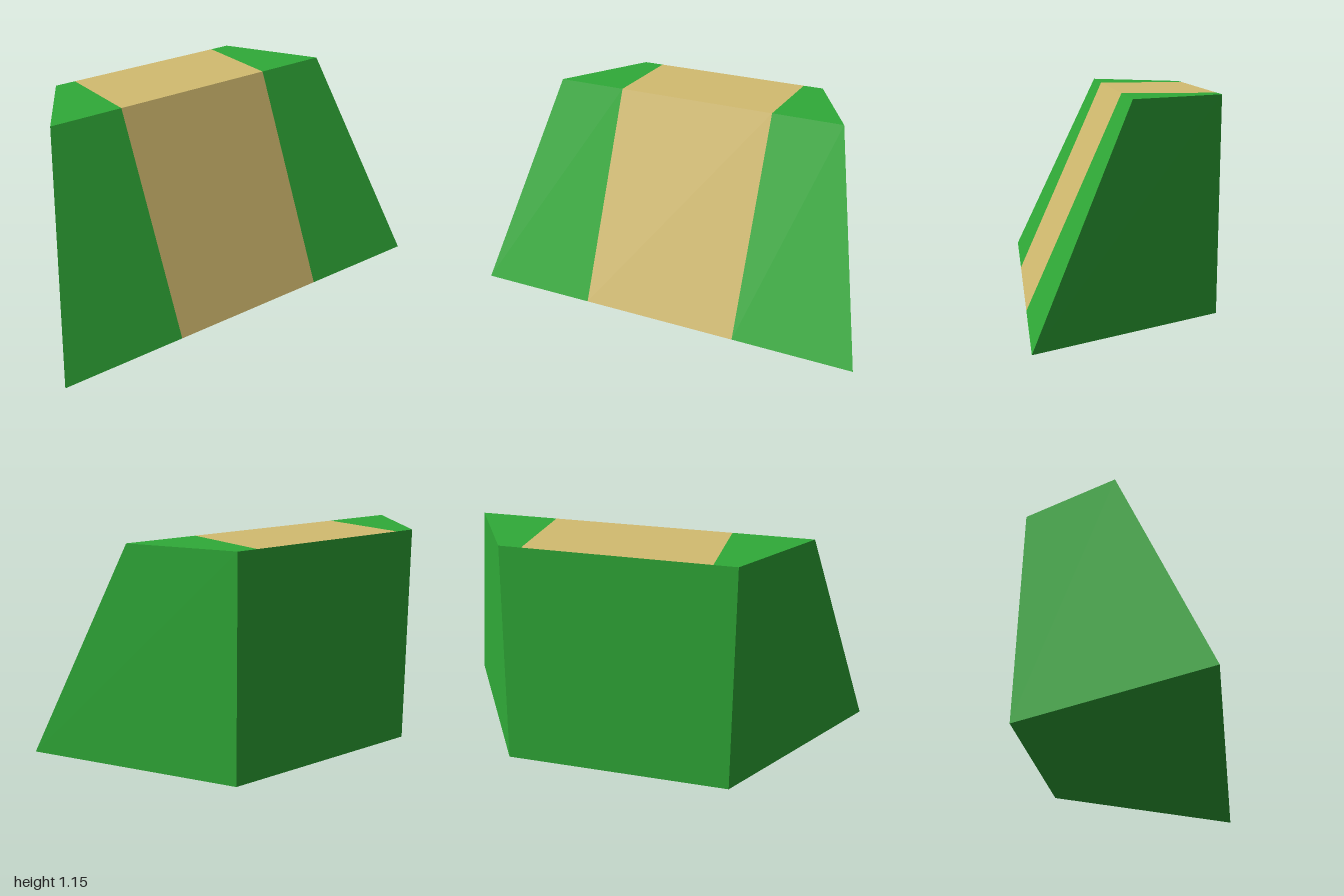
import * as THREE from 'three';

// Flat mesh from four-cornered faces, each listed counter-clockwise from outside
function quads(name, faces, material) {
  const points = faces.flatMap(([a, b, c, d]) => [a, b, c, a, c, d]);
  const geometry = new THREE.BufferGeometry().setFromPoints(points);
  geometry.computeVertexNormals();
  const mesh = new THREE.Mesh(geometry, material);
  mesh.name = name;
  return mesh;
}

export function createModel() {
  const green = new THREE.MeshStandardMaterial({ color: 0x30ab38 });
  green.name = 'green';
  const tan = new THREE.MeshStandardMaterial({ color: 0xd3bc70 });
  tan.name = 'tan';

  const group = new THREE.Group();
  group.name = 'slopeBlock';
  const v = (x, y, z) => new THREE.Vector3(x, y, z);
  const h = 1.155;

  // Corners: foot of the slope, crest, and the vertical back wall
  const footL = v(-1, 0, 0.866), footR = v(1, 0, -0.289);
  const crestL = v(-1, h, 0.289), crestR = v(0.5, h, -0.577);
  const backTopL = v(-1, h, -0.289), backTopR = v(0, h, -0.866);
  const backLowL = v(-1, 0, -0.289), backLowR = v(0, 0, -0.866);

  // Slope and top, cut lengthwise into grass, path, grass
  const rows = [
    [footL, footR, [0, 0.3, 0.7, 1]],
    [crestL, crestR, [0, 0.2333, 0.7667, 1]],
    [backTopL, backTopR, [0, 0.1, 0.9, 1]],
  ].map(([a, b, cuts]) => cuts.map((t) => a.clone().lerp(b, t)));

  ['grassLeft', 'path', 'grassRight'].forEach((name, i) => {
    const faces = [0, 1].map((r) => [rows[r][i], rows[r][i + 1], rows[r + 1][i + 1], rows[r + 1][i]]);
    group.add(quads(name, faces, i === 1 ? tan : green));
  });

  // Plain walls and underside
  group.add(
    quads('leftWall', [[backLowL, footL, crestL, backTopL]], green),
    quads('rightWall', [[footR, backLowR, backTopR, crestR]], green),
    quads('backWall', [[backLowR, backLowL, backTopL, backTopR]], green),
    quads('underside', [[footL, backLowL, backLowR, footR]], green),
  );
  return group;
}
